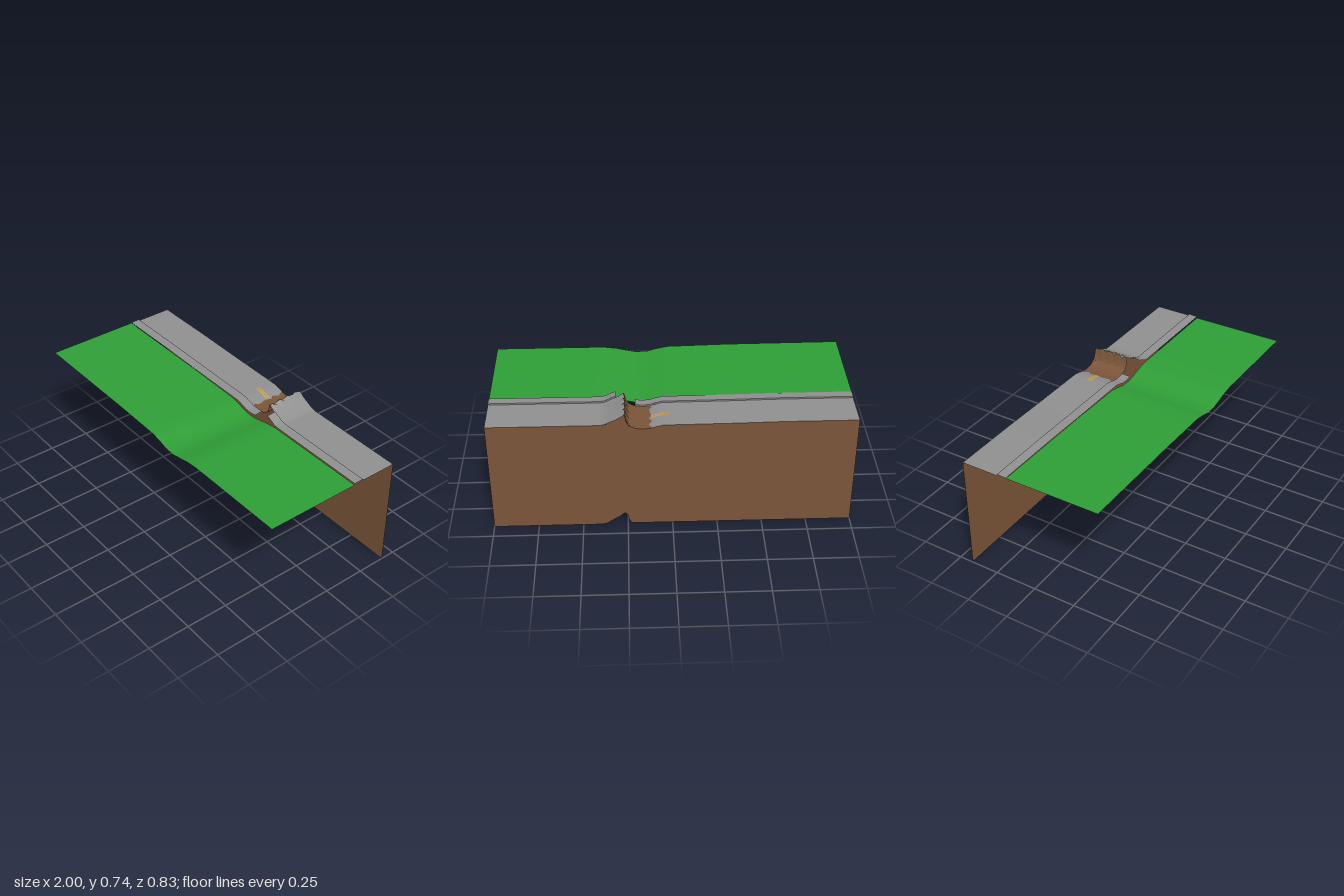
import * as THREE from 'three';

const mat = (name, color) => {
  const m = new THREE.MeshStandardMaterial({ color, side: THREE.DoubleSide });
  m.name = name;
  return m;
};

// Height profiles along x: road surface and grass
const ROAD = [[-1, .672], [-.6, .672], [-.35, .668], [.05, .665], [.09, .655], [.12, .645], [.16, .642], [.2, .647],
  [.235, .665], [.248, .69], [.256, .734], [.275, .722], [.3, .705], [.335, .69], [.36, .676], [.39, .67], [1, .67]];
const GRASS = [[-1, .676], [-.35, .672], [0, .664], [.07, .65], [.12, .635], [.19, .632], [.25, .645], [.3, .657],
  [.38, .667], [1, .667]];
const BASE = [[-1, .005], [.225, .005], [.24, .02], [.25, .06], [.265, .08], [.29, .058], [.33, .032], [.37, .005],
  [.4, 0], [1, 0]];

function heightAt(profile, x) {
  for (let i = 1; i < profile.length; i++) {
    const [x0, y0] = profile[i - 1], [x1, y1] = profile[i];
    if (x <= x1) return y0 + (y1 - y0) * (x - x0) / (x1 - x0);
  }
  return profile[profile.length - 1][1];
}

// The ridge is slightly arched across the road
function roadHeight(x, z) {
  const y = heightAt(ROAD, x);
  const ridge = Math.max(0, (y - .675) / .06);
  const t = (z + .305) / .11;
  return y + .007 * ridge * (1 - t * t);
}

// Sample x positions: profile corners plus even steps
function samples(x0, x1, profile) {
  const xs = new Set([x0, x1]);
  profile.forEach(([x]) => { if (x > x0 && x < x1) xs.add(x); });
  for (let i = 1; i < 12; i++) xs.add(x0 + (x1 - x0) * i / 12);
  return [...xs].sort((a, b) => a - b);
}

// Sheet through rows of points, first row to last row facing up or front
function sheet(name, material, xs, rows, point) {
  const pos = [], idx = [], n = xs.length;
  for (const r of rows) for (const x of xs) pos.push(...point(x, r));
  for (let j = 0; j < rows.length - 1; j++) {
    for (let i = 0; i < n - 1; i++) {
      const a = j * n + i, b = a + n;
      idx.push(a, b, a + 1, a + 1, b, b + 1);
    }
  }
  const g = new THREE.BufferGeometry();
  g.setAttribute('position', new THREE.Float32BufferAttribute(pos, 3));
  g.setIndex(idx);
  g.computeVertexNormals();
  const mesh = new THREE.Mesh(g, material);
  mesh.name = name;
  return mesh;
}

export function createModel() {
  const model = new THREE.Group();
  const earth = mat('earth brown', 0x7a5538);
  const grass = mat('grass green', 0x2f9e36);
  const asphalt = mat('asphalt grey', 0x8f8f8f);
  const orange = mat('marking orange', 0xd9a032);
  const BACK = -.415, KERB = -.195, VERGE = -.14;

  // Grass verge
  model.add(sheet('grassVerge', grass, samples(-1, 1, GRASS), [VERGE, .415],
    (x, z) => [x, heightAt(GRASS, x), z]));

  // Earth wall under the back edge
  const wallXs = [...new Set([...samples(-1, 1, ROAD), ...samples(-1, 1, BASE)])].sort((a, b) => a - b);
  model.add(sheet('earthWall', earth, wallXs, [1, 0],
    (x, t) => [x, t ? roadHeight(x, BACK) : heightAt(BASE, x), BACK]));

  // Road slabs either side of the broken trench, meeting it at ragged edges
  const rows = [];
  for (let i = 0; i <= 12; i++) rows.push(BACK + (KERB - BACK) * i / 12);
  const ragLeft = z => .118 + .007 * Math.sin(z * 95) + .004 * Math.sin(z * 210);
  const ragRight = z => .258 + .005 * Math.sin(z * 120 + 1);
  const span = (name, material, from, to, xs) =>
    model.add(sheet(name, material, xs, rows, (u, z) => {
      const x = from(z) + (to(z) - from(z)) * u;
      return [x, roadHeight(x, z), z];
    }));
  const unit = (x0, x1) => samples(x0, x1, ROAD).map(x => (x - x0) / (x1 - x0));
  span('leftRoad', asphalt, () => -1, ragLeft, unit(-1, .118));
  span('trench', earth, ragLeft, ragRight, unit(.118, .258));
  span('rightRoad', asphalt, ragRight, () => 1, unit(.258, 1));

  // Raised kerb: back riser and top, missing beside the ridge
  const kerbRise = .009;
  for (const [side, x0, x1] of [['left', -1, .2], ['right', .305, 1]]) {
    const xs = samples(x0, x1, ROAD);
    model.add(sheet(side + 'KerbRiser', asphalt, xs, [0, kerbRise],
      (x, d) => [x, roadHeight(x, KERB) + d, KERB]));
    model.add(sheet(side + 'KerbTop', asphalt, xs, [KERB, VERGE],
      (x, z) => [x, heightAt(ROAD, x) + kerbRise - (z === VERGE ? .003 : 0), z]));
  }

  // Double centre line, left where the surface has cracked
  for (const z of [-.315, -.3]) {
    model.add(sheet('centreLine', orange, samples(.02, .115, ROAD), [z - .004, z + .004],
      (x, zz) => [x, roadHeight(x, zz) + .002, zz]));
  }
  return model;
}
